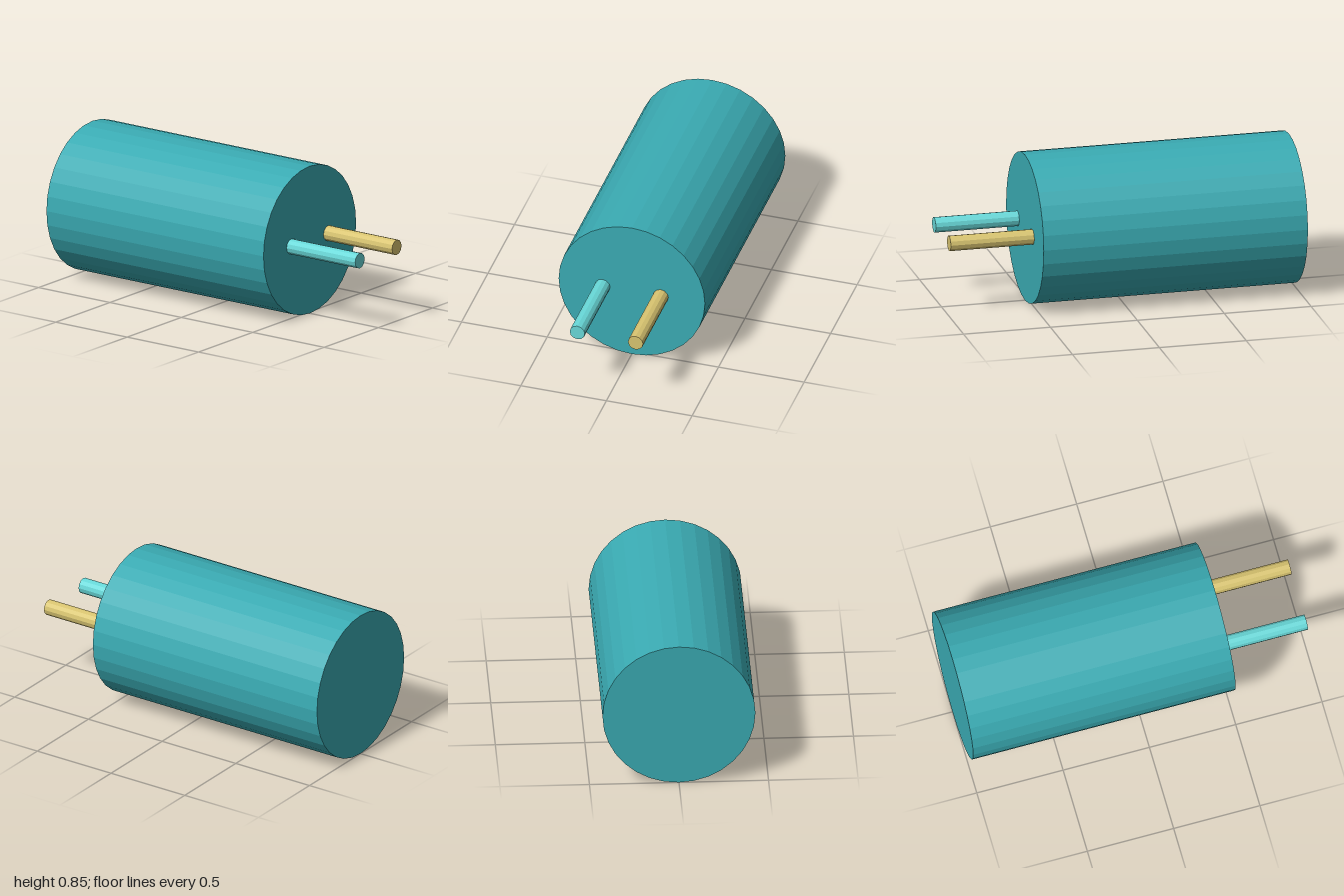
import * as THREE from 'three';

export function createModel() {
  const mat = (name, color) => {
    const m = new THREE.MeshStandardMaterial({ color, flatShading: true });
    m.name = name;
    return m;
  };
  const teal = mat('teal', 0x3aabb3);
  const paleTeal = mat('paleTeal', 0x68d8d8);
  const gold = mat('gold', 0xd8c470);

  const model = new THREE.Group();
  model.name = 'twoPinCylinder';
  const radius = 0.427;

  // Cylinder lying along z between two depths
  const addRod = (name, material, r, sides, x, back, front) => {
    const geometry = new THREE.CylinderGeometry(r, r, front - back, sides);
    geometry.rotateX(Math.PI / 2);
    const mesh = new THREE.Mesh(geometry, material);
    mesh.name = name;
    mesh.position.set(x, radius, (front + back) / 2);
    model.add(mesh);
  };

  // Main can
  addRod('body', teal, radius, 32, 0, -1, 0.52);
  // Terminals on the front face
  addRod('rightPin', paleTeal, 0.044, 12, -0.17, 0.52, 1);
  addRod('leftPin', gold, 0.044, 12, 0.17, 0.52, 1);

  return model;
}
